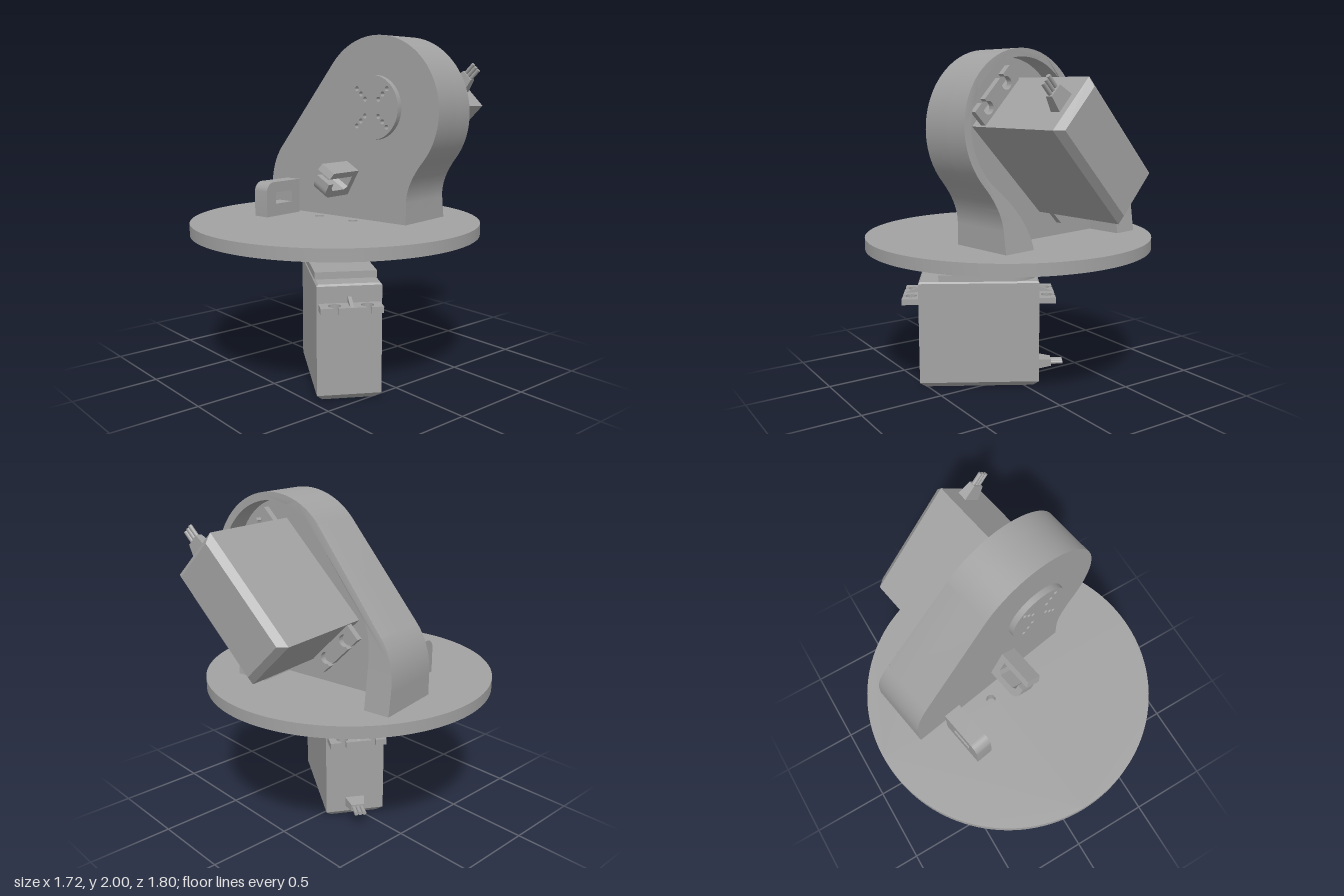
import * as THREE from 'three';
import { toCreasedNormals } from 'three/addons/utils/BufferGeometryUtils.js';
import { ConvexGeometry } from 'three/addons/geometries/ConvexGeometry.js';

const grey = new THREE.MeshStandardMaterial({ color: 0xa2a2a2 });
grey.name = 'grey plastic';
const rad = THREE.MathUtils.degToRad;

function add(parent, name, geometry, x = 0, y = 0, z = 0) {
  const mesh = new THREE.Mesh(geometry, grey);
  mesh.name = name;
  mesh.position.set(x, y, z);
  parent.add(mesh);
  return mesh;
}

function extrude(shape, depth, segments = 24) {
  return toCreasedNormals(new THREE.ExtrudeGeometry(shape, { depth, bevelEnabled: false, curveSegments: segments }), 0.5);
}

// Extrusion lying flat, rising along y
const slab = (shape, depth, segments) => extrude(shape, depth, segments).rotateX(-Math.PI / 2);

function roundPlate(radius, holes, holeRadius) {
  const shape = new THREE.Shape().absarc(0, 0, radius, 0, Math.PI * 2);
  for (const [x, y] of holes) shape.holes.push(new THREE.Path().absarc(x, y, holeRadius, 0, Math.PI * 2, true));
  return shape;
}

// Mounting ear reaching along +x with two keyhole slots open at its end
function earShape(length) {
  const s = new THREE.Shape().moveTo(0, -0.17).lineTo(length, -0.17);
  for (const y of [-0.09, 0.09]) {
    s.lineTo(length, y - 0.014);
    s.lineTo(length * 0.5 + 0.032, y - 0.014);
    s.absarc(length * 0.5, y, 0.035, -0.41, 0.41 - Math.PI * 2, true);
    s.lineTo(length, y + 0.014);
  }
  return s.lineTo(length, 0.17).lineTo(0, 0.17);
}

// Servo with its output shaft on the y axis and its body reaching along +x
function createServo(name) {
  const servo = new THREE.Group();
  servo.name = name;

  const corners = [];
  for (const [y, inset] of [[0, 0.035], [0.035, 0], [0.65, 0], [0.66, 0.01]])
    for (const x of [-0.18 + inset, 0.54 - inset])
      for (const z of [-0.18 + inset, 0.18 - inset]) corners.push(new THREE.Vector3(x, y, z));
  add(servo, 'servoCase', new ConvexGeometry(corners));

  // Raised gear housing, round around the shaft
  const housing = new THREE.Shape().moveTo(0.42, -0.175).lineTo(0.42, 0.175).lineTo(0, 0.175);
  housing.absarc(0, 0, 0.178, Math.PI / 2, Math.PI * 1.5, false);
  add(servo, 'gearHousing', slab(housing, 0.04), 0, 0.66, 0);

  // Stepped collar and shaft
  for (const [part, r, y0, y1] of [['collar', 0.115, 0.7, 0.72], ['bearing', 0.08, 0.72, 0.737], ['shaft', 0.05, 0.737, 0.815]])
    add(servo, part, new THREE.CylinderGeometry(r, r, y1 - y0, 32), 0, (y0 + y1) / 2, 0);

  // Round horn with a cross of screw holes
  const holes = [];
  for (let i = 0; i < 4; i++)
    for (const r of [0.068, 0.11, 0.152]) holes.push([r * Math.cos(i * Math.PI / 2), r * Math.sin(i * Math.PI / 2)]);
  add(servo, 'horn', slab(roundPlate(0.185, holes, 0.014), 0.035), 0, 0.81, 0);

  // Ears with a triangular rib at both ends
  const rib = new THREE.Shape().moveTo(0, 0).lineTo(0.09, 0).lineTo(0, 0.035);
  for (const [x, turn] of [[0.54, 0], [-0.18, Math.PI]]) {
    add(servo, 'mountingEar', slab(earShape(0.1), 0.036), x, 0.52, 0).rotation.y = turn;
    add(servo, 'earRib', extrude(rib, 0.02).translate(0, 0, -0.01), x, 0.556, 0).rotation.y = turn;
  }

  // Tapered cable boot with three wires
  const boot = [];
  for (const [x, h, w] of [[-0.18, 0.03, 0.06], [-0.265, 0.02, 0.04]])
    for (const sy of [-1, 1]) for (const sz of [-1, 1]) boot.push(new THREE.Vector3(x, 0.1 + sy * h, sz * w));
  add(servo, 'cableBoot', new ConvexGeometry(boot));
  for (const z of [-0.025, 0, 0.025])
    add(servo, 'wire', new THREE.CylinderGeometry(0.012, 0.012, 0.075, 12).rotateZ(Math.PI / 2), -0.3, 0.1, z);
  return servo;
}

const FLOOR = 0.925, FRONT = -0.043, POCKET = -0.22;

// Outside contour of the upright bracket, from right foot to left foot
function bracketOutline() {
  const s = new THREE.Shape().moveTo(0.455, FLOOR).lineTo(0.455, 1.05);
  s.quadraticCurveTo(0.455, 1.163, 0.565, 1.294);
  s.absarc(0.235, 1.57, 0.43, rad(-40), rad(140), false);
  s.lineTo(-0.527, 1.33);
  s.quadraticCurveTo(-0.62, 1.219, -0.62, 1.05);
  return s.lineTo(-0.62, FLOOR);
}

function createBracket() {
  const bracket = new THREE.Group();
  bracket.name = 'bracket';
  bracket.rotation.y = 0.17;

  add(bracket, 'frontPlate', extrude(bracketOutline(), FRONT - POCKET, 40), 0, 0, POCKET);

  // Rear rim around the pocket, growing deeper towards the feet
  const rim = bracketOutline();
  rim.lineTo(-0.464, FLOOR).lineTo(-0.464, 1.15);
  rim.quadraticCurveTo(-0.464, 1.337, -0.411, 1.4);
  rim.absarc(0.235, 1.57, 0.385, rad(140), rad(-50), true);
  rim.quadraticCurveTo(0.27, 1.1, 0.25, FLOOR);
  const rimGeometry = new THREE.ExtrudeGeometry(rim, { depth: 1, bevelEnabled: false, curveSegments: 40 });
  const p = rimGeometry.attributes.position;
  for (let i = 0; i < p.count; i++) {
    const t = Math.max(0, (2 - p.getY(i)) / 1.08);
    p.setZ(i, p.getZ(i) > 0.5 ? POCKET : -0.34 - 0.1 * Math.pow(t, 1.6));
  }
  add(bracket, 'rearRim', toCreasedNormals(rimGeometry, 0.5));

  // Servo lying in the pocket, its horn showing at the front
  const servo = createServo('armServo');
  const k = Math.SQRT1_2;
  servo.quaternion.setFromRotationMatrix(new THREE.Matrix4().makeBasis(
    new THREE.Vector3(-k, -k, 0), new THREE.Vector3(0, 0, 1), new THREE.Vector3(-k, k, 0)));
  servo.position.set(0.24, 1.59, -0.84);
  bracket.add(servo);

  // Cable loop standing on the turntable; profile x runs forwards
  const loop = new THREE.Shape().moveTo(0, 0).lineTo(0.285, 0).lineTo(0.285, 0.15);
  loop.absarc(0.225, 0.15, 0.06, 0, Math.PI / 2, false);
  loop.lineTo(0, 0.21);
  loop.holes.push(new THREE.Path().moveTo(0.07, 0.075).lineTo(0.07, 0.145).lineTo(0.21, 0.145).lineTo(0.21, 0.075));
  const sideways = (shape) => extrude(shape, 0.105).translate(0, 0, -0.0525).rotateY(-Math.PI / 2);
  add(bracket, 'cableLoop', sideways(loop), -0.394, FLOOR, -0.005);

  // Open cable hook on the front plate
  const hook = new THREE.Shape().moveTo(0, -0.085).lineTo(0.17, -0.085);
  hook.absarc(0.17, -0.03, 0.055, -Math.PI / 2, 0, false);
  hook.lineTo(0.225, 0.01).lineTo(0.185, 0.01).lineTo(0.185, -0.02);
  hook.lineTo(0.165, -0.04).lineTo(0.06, -0.04).lineTo(0.04, -0.02).lineTo(0.04, 0.05);
  hook.lineTo(0.24, 0.05).lineTo(0.225, 0.088).lineTo(0, 0.088);
  add(bracket, 'cableHook', sideways(hook), 0.02, 1.165, FRONT).rotation.z = rad(-30);
  return bracket;
}

export function createModel() {
  const model = new THREE.Group();
  model.name = 'panTiltMount';

  const base = createServo('baseServo');
  base.position.set(0, 0, 0.04);
  base.rotation.y = rad(-31.2);
  model.add(base);

  // Turntable with two screw holes
  const table = roundPlate(0.86, [[-0.13, -0.015], [0.13, 0.03]], 0.028);
  add(model, 'turntable', slab(table, 0.07, 64), 0, 0.855, 0.04);

  model.add(createBracket());
  return model;
}
